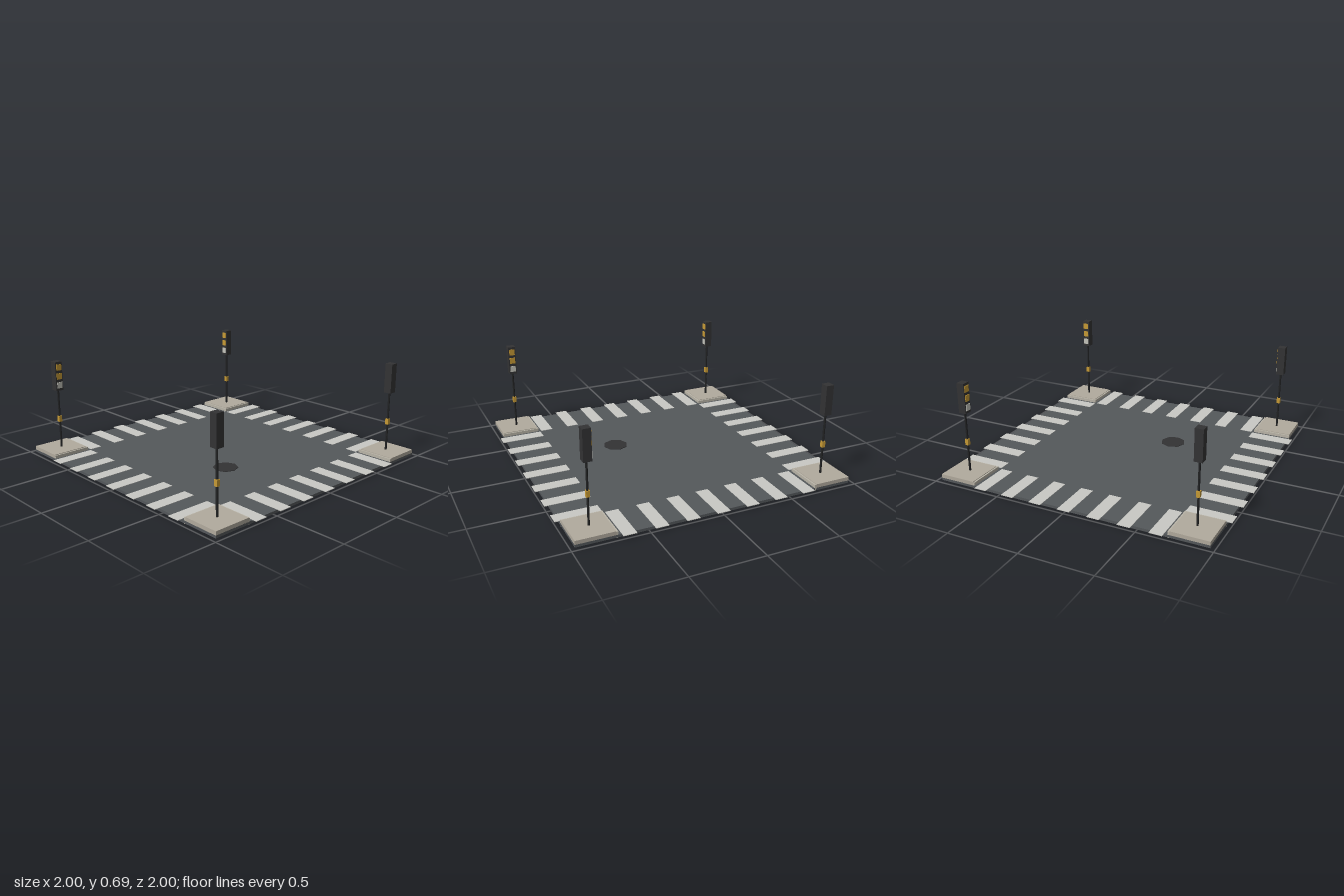
import * as THREE from 'three';

const mat = (name, color) => {
  const m = new THREE.MeshStandardMaterial({ color });
  m.name = name;
  m.flatShading = true;
  return m;
};

export function createModel() {
  const road = mat('asphalt', 0x54585b);
  const paint = mat('road paint', 0xc9c9c4);
  const paving = mat('paving', 0xb1aa9d);
  const kerbStone = mat('kerb stone', 0xbab5a8);
  const dark = mat('dark metal', 0x333334);
  const poleMat = mat('pole metal', 0x222324);
  const amber = mat('amber', 0xc79a35);
  const pale = mat('pale lamp', 0xc4c4bc);

  const model = new THREE.Group();
  model.name = 'intersection';

  const add = (parent, name, geometry, material, x, y, z) => {
    const mesh = new THREE.Mesh(geometry, material);
    mesh.name = name;
    mesh.position.set(x, y, z);
    parent.add(mesh);
    return mesh;
  };
  // Box given by its bottom height and top height
  const box = (parent, name, material, w, d, x, z, y0, y1) =>
    add(parent, name, new THREE.BoxGeometry(w, y1 - y0, d), material, x, (y0 + y1) / 2, z);

  // Road slab and manhole cover
  box(model, 'roadSlab', road, 1.94, 1.94, 0, 0, 0.002, 0.02);
  add(model, 'manholeCover', new THREE.CylinderGeometry(0.088, 0.088, 0.004, 8), dark, 0.25, 0.022, 0.21);

  // Four crossings of seven stripes, each overhanging the slab a little
  for (let side = 0; side < 4; side++) {
    const crossing = new THREE.Group();
    crossing.name = 'crossing';
    crossing.rotation.y = side * Math.PI / 2;
    for (let i = -3; i <= 3; i++) {
      box(crossing, 'stripe', paint, 0.088, 0.31, i * 0.211, 0.845, 0.019, 0.023);
    }
    model.add(crossing);
  }

  // Corners: one built at +x +z, turned around the centre
  for (let c = 0; c < 4; c++) {
    const corner = new THREE.Group();
    corner.name = 'corner';
    corner.rotation.y = c * Math.PI / 2;
    model.add(corner);

    // Raised pavement with kerbs on its two inner sides
    box(corner, 'pavement', paving, 0.26, 0.26, 0.84, 0.84, 0.018, 0.046);
    box(corner, 'kerb', kerbStone, 0.012, 0.272, 0.704, 0.834, 0, 0.042);
    box(corner, 'kerb', kerbStone, 0.26, 0.012, 0.84, 0.704, 0, 0.042);

    // Traffic light whose lamps face along the edge of the crossing
    const light = new THREE.Group();
    light.name = 'trafficLight';
    light.position.set(0.835, 0, 0.835);
    corner.add(light);
    add(light, 'pole', new THREE.CylinderGeometry(0.0075, 0.0075, 0.44, 8), poleMat, 0, 0.262, 0);
    box(light, 'pushButton', amber, 0.024, 0.024, 0, 0, 0.238, 0.28);
    box(light, 'housing', dark, 0.055, 0.055, 0, 0, 0.475, 0.685);
    [amber, amber, pale].forEach((m, i) => {
      const y = 0.645 - i * 0.065;
      box(light, 'lamp', m, 0.04, 0.006, 0, -0.029, y - 0.022, y + 0.022);
    });
  }
  return model;
}
